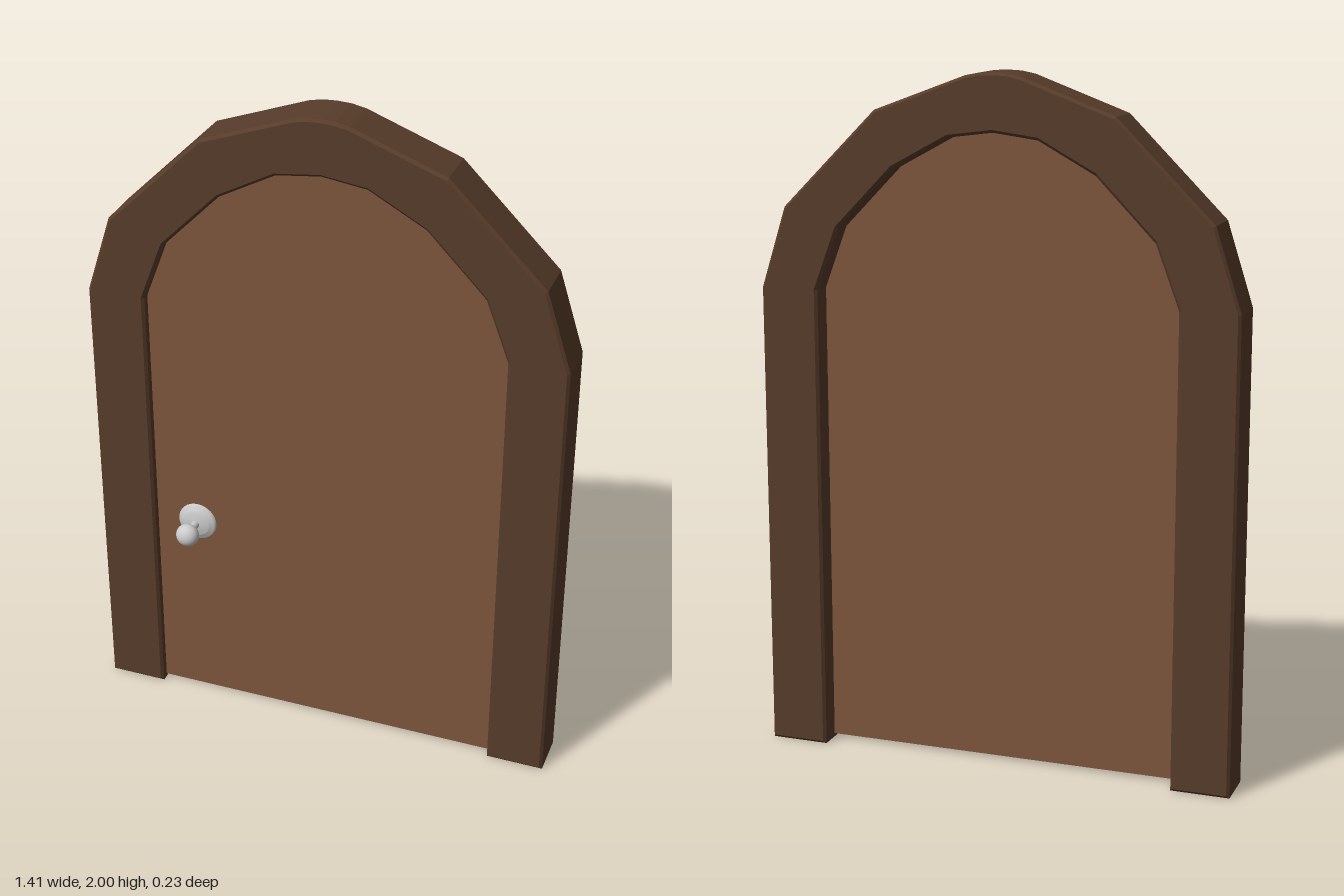
import * as THREE from 'three';

// Right half of each arch, from the ground up to the crown
const OUTER = [[0.705, 0], [0.705, 1.375], [0.63, 1.61], [0.35, 1.89], [0.08, 1.99], [0.04, 1.998], [0, 2]];
const INNER = [[0.533, 0], [0.533, 1.375], [0.465, 1.555], [0.295, 1.73], [0.13, 1.82], [0, 1.837]];

const mirrored = (half) => [
  ...half,
  ...half.slice().reverse().filter(([x]) => x > 0).map(([x, y]) => [-x, y]),
];
const toShape = (points) => new THREE.Shape(points.map(([x, y]) => new THREE.Vector2(x, y)));

// Chamfered slab between two depths; the outline stays at full size
function slab(shape, back, front, bevel) {
  const geometry = new THREE.ExtrudeGeometry(shape, {
    depth: front - back - 2 * bevel,
    bevelEnabled: bevel > 0,
    bevelThickness: bevel,
    bevelSize: bevel,
    bevelOffset: -bevel,
    bevelSegments: 1,
  });
  return geometry.translate(0, 0, back + bevel);
}

function addMesh(parent, name, geometry, material) {
  const mesh = new THREE.Mesh(geometry, material);
  mesh.name = name;
  parent.add(mesh);
  return mesh;
}

export function createModel() {
  const group = new THREE.Group();
  group.name = 'archedDoor';
  const frameWood = new THREE.MeshStandardMaterial({ color: 0x573c2a, flatShading: true });
  const doorWood = new THREE.MeshStandardMaterial({ color: 0x7d563c, flatShading: true });
  const metal = new THREE.MeshStandardMaterial({ color: 0xcccccc });

  // Arched frame: outer outline up and over, then back along the inner one
  const frameOutline = [...mirrored(OUTER), ...mirrored(INNER).reverse()];
  addMesh(group, 'frame', slab(toShape(frameOutline), -0.115, 0.03, 0.008), frameWood);

  // Door panel, its edge tucked into the frame
  const panel = INNER.map(([x, y]) => [x * 1.03, y > 0 ? y + 0.02 : 0.01]);
  addMesh(group, 'doorPanel', slab(toShape(mirrored(panel)), -0.048, 0.002, 0), doorWood);

  // Handle: turned plate, stem and knob, axis pointing forward
  const handle = new THREE.Group();
  handle.name = 'handle';
  handle.position.set(-0.403, 0.63, 0);
  handle.rotation.x = Math.PI / 2;
  group.add(handle);

  const plate = [[0.06, 0], [0.06, 0.006], [0.055, 0.012], [0.044, 0.014], [0.04, 0.02], [0.012, 0.023]];
  addMesh(handle, 'handlePlate',
    new THREE.LatheGeometry(plate.map(([r, h]) => new THREE.Vector2(r, h)), 32), metal);
  addMesh(handle, 'handleStem',
    new THREE.CylinderGeometry(0.012, 0.012, 0.06, 20, 1, true).translate(0, 0.03, 0), metal);
  addMesh(handle, 'handleKnob',
    new THREE.SphereGeometry(0.035, 28, 18).scale(1, 0.87, 1).translate(0, 0.082, 0), metal);

  return group;
}
